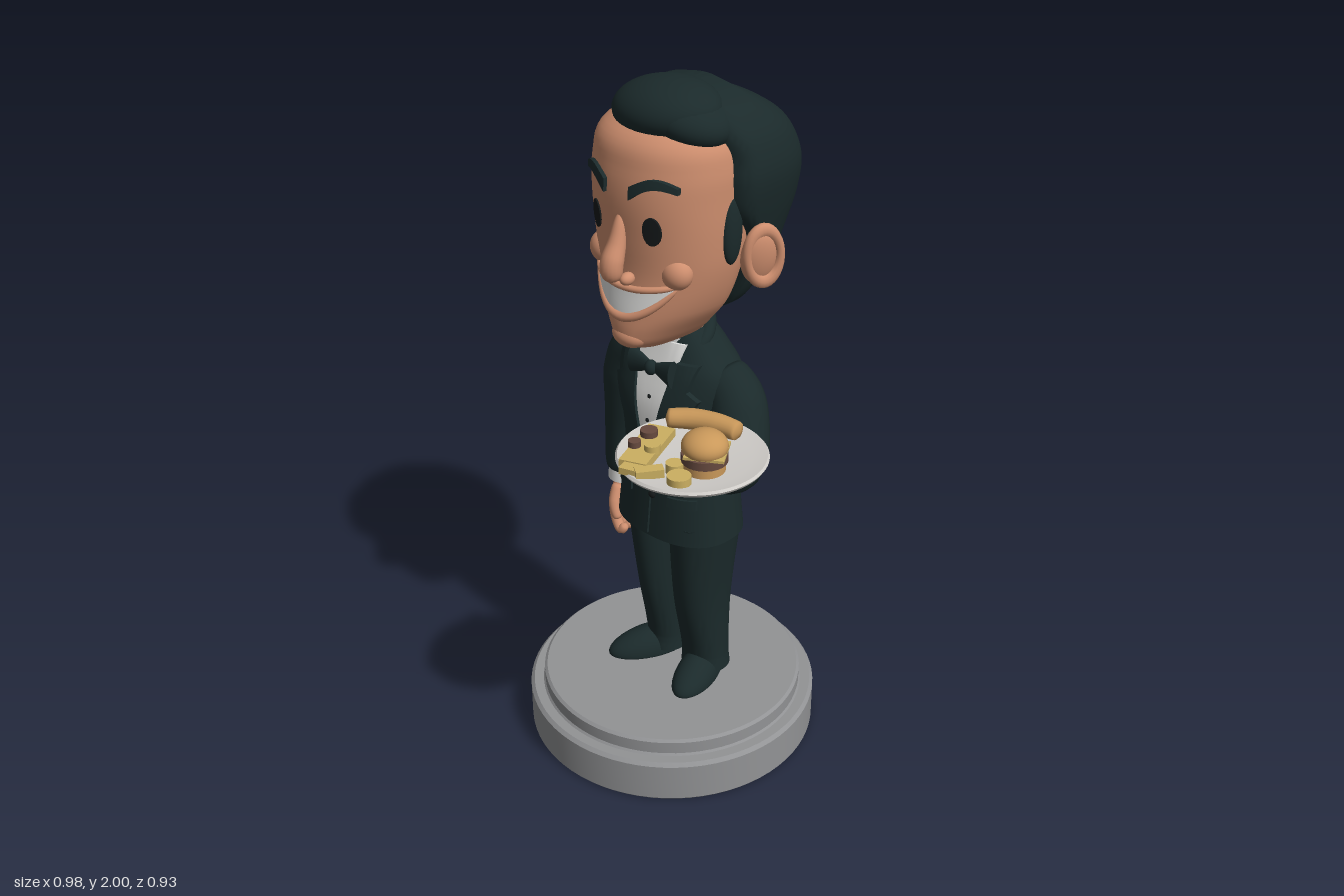
import * as THREE from 'three';
import { mergeVertices, toCreasedNormals } from 'three/addons/utils/BufferGeometryUtils.js';

const paint = (name, color) => Object.assign(new THREE.MeshStandardMaterial({ color }), { name });
const V = (p) => new THREE.Vector3(...p);
const CX = -0.042; // middle of the head

// Smooth value of every column of a row table at height y
function sample(rows, y) {
  const last = rows.length - 1;
  let i = 0;
  while (i < last - 1 && y > rows[i + 1][0]) i++;
  const a = rows[i], b = rows[i + 1], h = b[0] - a[0];
  const t = THREE.MathUtils.clamp((y - a[0]) / h, 0, 1);
  const slope = (k, c) => {
    const p = rows[Math.max(k - 1, 0)], q = rows[Math.min(k + 1, last)];
    return (q[c] - p[c]) / (q[0] - p[0]);
  };
  return a.map((v, c) => {
    const t2 = t * t, t3 = t2 * t;
    return (2 * t3 - 3 * t2 + 1) * v + (t3 - 2 * t2 + t) * h * slope(i, c)
      + (3 * t2 - 2 * t3) * b[c] + (t3 - t2) * h * slope(i + 1, c);
  });
}

// Body from stacked rings; each row is [y, centre x, half width, front z, back z]
function loft({ rows, cz, pf = 2.2, pb = 2.2 }, n = 48) {
  const pos = [], idx = [], ys = [];
  for (let i = 0; i < rows.length - 1; i++)
    for (let k = 0; k < 5; k++) ys.push(THREE.MathUtils.lerp(rows[i][0], rows[i + 1][0], k / 5));
  ys.push(rows[rows.length - 1][0]);
  ys.forEach((y) => {
    const [, cx, rx, zf, zb] = sample(rows, y);
    for (let j = 0; j < n; j++) {
      const a = (j / n) * Math.PI * 2, c = Math.cos(a), s = Math.sin(a), e = 2 / (s > 0 ? pf : pb);
      pos.push(cx + rx * Math.sign(c) * Math.abs(c) ** e, y,
        cz + (s > 0 ? zf - cz : cz - zb) * Math.sign(s) * Math.abs(s) ** e);
    }
  });
  const top = (ys.length - 1) * n, c0 = pos.length / 3;
  for (const y of [ys[0], ys[ys.length - 1]]) {
    const [, cx, , zf, zb] = sample(rows, y);
    pos.push(cx, y, (zf + zb) / 2);
  }
  for (let j = 0; j < n; j++) {
    const k = (j + 1) % n;
    for (let i = 0; i < ys.length - 1; i++) {
      const a = i * n + j, b = i * n + k;
      idx.push(a, a + n, b, b, a + n, b + n);
    }
    idx.push(c0, j, k, c0 + 1, top + k, top + j);
  }
  const g = new THREE.BufferGeometry();
  g.setAttribute('position', new THREE.Float32BufferAttribute(pos, 3));
  g.setIndex(idx);
  return toCreasedNormals(g, 0.9);
}

// Front z of a loft at (x, y)
function frontZ({ rows, cz, pf = 2.2 }, x, y) {
  const [, cx, rx, zf] = sample(rows, y);
  return cz + (zf - cz) * Math.max(0, 1 - (Math.abs(x - cx) / rx) ** pf) ** (1 / pf);
}

// Thin plate following the front of a loft; f(u, v) gives [x, y]
function patch(body, f, off = 0.006, n = 14) {
  const steps = [0, ...Array.from({ length: n + 1 }, (_, i) => i / n), 1], m = steps.length;
  const pos = [], idx = [];
  steps.forEach((u, i) => steps.forEach((v, j) => {
    const [x, y] = f(u, v), rim = i === 0 || j === 0 || i === m - 1 || j === m - 1;
    pos.push(x, y, frontZ(body, x, y) + (rim ? -0.004 : off));
    if (i < m - 1 && j < m - 1) {
      const a = i * m + j;
      idx.push(a, a + m, a + 1, a + 1, a + m, a + m + 1);
    }
  }));
  const g = new THREE.BufferGeometry();
  g.setAttribute('position', new THREE.Float32BufferAttribute(pos, 3));
  g.setIndex(idx);
  return toCreasedNormals(g, 0.7);
}

// Tapered tube with closed ends
function limb(points, radii, power = 10, seg = 28, sides = 18) {
  const curve = new THREE.CatmullRomCurve3(points.map(V));
  const g = new THREE.TubeGeometry(curve, seg, 1, sides), p = g.attributes.position, v = new THREE.Vector3();
  for (let i = 0; i <= seg; i++) {
    const t = i / seg, c = curve.getPointAt(t), k = t * (radii.length - 1);
    const a = Math.min(Math.floor(k), radii.length - 2);
    const r = THREE.MathUtils.lerp(radii[a], radii[a + 1], k - a) * Math.sqrt(Math.max(0, 1 - Math.abs(2 * t - 1) ** power));
    for (let j = 0; j <= sides; j++) {
      const q = i * (sides + 1) + j;
      v.fromBufferAttribute(p, q).sub(c).multiplyScalar(r).add(c);
      p.setXYZ(q, v.x, v.y, v.z);
    }
  }
  g.deleteAttribute('uv');
  g.deleteAttribute('normal');
  const out = mergeVertices(g);
  out.computeVertexNormals();
  return out;
}

const lathe = (pts) => toCreasedNormals(new THREE.LatheGeometry(pts.map((p) => new THREE.Vector2(...p)), 72), 0.5);

export function createModel() {
  const root = new THREE.Group();
  root.name = 'waiterFigure';
  const suit = paint('suit', 0x1b2a2b), skin = paint('skin', 0xcf8f6f), white = paint('white', 0xe2e2e0);
  const stone = paint('stone', 0x929395), china = paint('china', 0xcfccc8), bread = paint('bread', 0xc9985a);
  const cheese = paint('cheese', 0xccb062), meat = paint('meat', 0x674a3f), ink = paint('ink', 0x15191a);

  const add = (name, geo, mat, pos = [0, 0, 0], rot = [0, 0, 0]) => {
    const m = new THREE.Mesh(geo, mat);
    m.name = name;
    m.position.set(...pos);
    m.rotation.set(...rot);
    root.add(m);
    return m;
  };
  const ball = (name, mat, pos, r, rot) => {
    const m = add(name, new THREE.SphereGeometry(1, 32, 20), mat, pos, rot);
    m.scale.set(...r);
    return m;
  };

  // Stepped round base
  add('base', lathe([[0, 0], [0.423, 0], [0.428, 0.006], [0.428, 0.12], [0.418, 0.13], [0.39, 0.13],
    [0.385, 0.136], [0.385, 0.173], [0.377, 0.18], [0, 0.18]]), stone, [-0.063, 0, -0.036]);

  // Trousers and shoes
  add('rightTrouserLeg', loft({ cz: -0.08, rows: [[0.2, -0.118, 0.062, -0.015, -0.15], [0.25, -0.12, 0.06, -0.02, -0.148],
    [0.45, -0.122, 0.063, 0.02, -0.155], [0.74, -0.125, 0.075, 0.06, -0.17]] }), suit);
  add('leftTrouserLeg', loft({ cz: -0.08, rows: [[0.2, 0.033, 0.072, -0.015, -0.15], [0.25, 0.03, 0.07, -0.02, -0.148],
    [0.45, 0.027, 0.075, 0.02, -0.155], [0.74, 0.045, 0.088, 0.06, -0.17]] }), suit);
  for (const [name, x, turn] of [['rightShoe', -0.155, -0.5], ['leftShoe', 0.05, 0.3]]) {
    const g = new THREE.SphereGeometry(1, 32, 20), p = g.attributes.position;
    for (let i = 0; i < p.count; i++)
      p.setY(i, p.getY(i) < 0 ? Math.max(p.getY(i), -0.07) : p.getY(i) * (1 - 0.3 * p.getZ(i)));
    g.computeVertexNormals();
    add(name, g, suit, [x, 0.184, -0.025], [0, turn, 0]).scale.set(0.06, 0.07, 0.122);
  }

  // Jacket body
  const torso = { cz: -0.06, pf: 2.4, pb: 2.4, rows: [[0.69, -0.05, 0.192, 0.08, -0.2], [0.8, -0.048, 0.18, 0.075, -0.192],
    [0.95, -0.045, 0.166, 0.07, -0.185], [1.1, -0.05, 0.183, 0.068, -0.19], [1.2, -0.05, 0.185, 0.042, -0.183],
    [1.26, -0.048, 0.135, 0.022, -0.165], [1.315, -0.045, 0.08, 0.005, -0.14]] };
  add('jacket', loft(torso), suit);
  add('jacketCollar', limb([[-0.125, 1.24, 0.015], [-0.13, 1.29, -0.06], [-0.045, 1.322, -0.142],
    [0.04, 1.29, -0.06], [0.035, 1.24, 0.015]], [0.016, 0.022, 0.022, 0.022, 0.016]), suit);

  // Shirt front, lapels and jacket details
  const opening = (y) => 0.075 * Math.max(0, (y - 0.95) / 0.33) ** 0.7;
  add('shirtFront', patch(torso, (u, v) => {
    const y = 0.95 + 0.335 * v;
    return [-0.045 + opening(y) * (2 * u - 1), y];
  }, 0.007), white);
  for (const s of [1, -1]) {
    add('lapel', patch(torso, (u, v) => {
      const y = 0.92 + 0.32 * v, k = s > 0 ? u : 1 - u;
      const w = v < 0.75 ? 0.015 + 0.11 * v : 0.058;
      return [-0.045 + s * (opening(y) + w * k), y];
    }, 0.016), suit);
    add('pocketFlap', patch(torso, (u, v) => [-0.045 + s * 0.105 + 0.075 * (u - 0.5), 0.81 + 0.03 * v], 0.008), suit);
    // Bow tie wings
    add('bowTieWing', new THREE.CylinderGeometry(0.014, 0.04, 0.068, 20), suit, [-0.045 + s * 0.04, 1.215, 0.056],
      [0, 0, s * Math.PI / 2]).scale.z = 0.5;
  }
  ball('bowTieKnot', suit, [-0.045, 1.215, 0.062], [0.018, 0.022, 0.018]);
  add('jacketFrontEdge', patch(torso, (u, v) => [-0.045 - 0.012 * (1 - v) + 0.014 * u, 0.7 + 0.23 * v], 0.007), suit);
  for (const y of [0.9, 0.83]) ball('jacketButton', ink, [-0.03, y, 0.078], [0.011, 0.011, 0.008]);
  for (const y of [1.13, 1.06]) ball('shirtStud', ink, [-0.045, y, frontZ(torso, -0.045, y) + 0.007], [0.006, 0.006, 0.004]);
  add('pocketSquare', patch(torso, (u, v) => [0.055 + 0.045 * u, 1.07 + v * (0.012 + 0.022 * Math.sin(u * Math.PI))], 0.014), white);

  // Neck and shirt collar
  add('neck', new THREE.CylinderGeometry(0.07, 0.072, 0.2, 32), skin, [-0.043, 1.3, -0.06]);
  add('shirtCollar', new THREE.CylinderGeometry(0.077, 0.084, 0.075, 32), white, [-0.044, 1.268, -0.058], [0.15, 0, 0]);

  // Sleeves and cuffs
  add('rightSleeve', limb([[-0.17, 1.19, -0.08], [-0.245, 1.145, -0.085], [-0.282, 0.95, -0.09], [-0.3, 0.73, -0.085]],
    [0.07, 0.08, 0.066, 0.056], 30), suit);
  add('rightCuff', new THREE.CylinderGeometry(0.046, 0.048, 0.04, 28), white, [-0.3, 0.728, -0.084]);
  add('leftSleeve', limb([[0.07, 1.19, -0.08], [0.14, 1.13, -0.075], [0.195, 0.99, -0.015], [0.215, 1.025, 0.08], [0.215, 1.07, 0.15]],
    [0.07, 0.08, 0.083, 0.074, 0.058], 30, 40), suit);
  add('leftCuff', limb([[0.215, 1.058, 0.135], [0.219, 1.083, 0.174]], [0.05, 0.05], 20), white);

  // Hanging hand
  ball('rightPalm', skin, [-0.292, 0.665, -0.08], [0.034, 0.062, 0.048]);
  for (let i = 0; i < 4; i++) {
    const z = -0.12 + 0.026 * i;
    add('rightFinger', limb([[-0.3, 0.65, z], [-0.298, 0.59, z], [-0.27, 0.553 + 0.006 * (3 - i), z + 0.006], [-0.252, 0.575, z + 0.004]],
      [0.018, 0.017, 0.016, 0.014]), skin);
  }
  add('rightThumb', limb([[-0.29, 0.7, -0.05], [-0.28, 0.645, -0.022], [-0.262, 0.6, -0.015]], [0.02, 0.019, 0.014]), skin);

  // Raised hand under the plate
  add('leftWrist', limb([[0.216, 1.075, 0.155], [0.235, 1.1, 0.2], [0.265, 1.115, 0.24]], [0.036, 0.038, 0.036]), skin);
  ball('leftPalm', skin, [0.27, 1.117, 0.245], [0.058, 0.036, 0.06]);
  for (let i = 0; i < 4; i++)
    add('leftFinger', limb([[0.26 + 0.014 * i, 1.115, 0.265 - 0.012 * i], [0.272 + 0.026 * i, 1.116, 0.32 - 0.02 * i],
      [0.28 + 0.036 * i, 1.142, 0.37 - 0.033 * i]], [0.02, 0.018, 0.014]), skin);
  add('leftThumb', limb([[0.25, 1.11, 0.21], [0.3, 1.11, 0.2], [0.34, 1.14, 0.2]], [0.02, 0.019, 0.015]), skin);

  // Plate with food
  add('plate', lathe([[0, 1.153], [0.11, 1.153], [0.186, 1.168], [0.191, 1.176], [0.186, 1.182], [0.15, 1.176], [0, 1.174]]),
    china, [0.3, 0, 0.274]);
  add('bananaRoll', limb([[0.148, 1.196, 0.21], [0.21, 1.198, 0.168], [0.27, 1.198, 0.147], [0.337, 1.196, 0.137]],
    [0.025, 0.028, 0.028, 0.025], 30), bread);
  add('cheeseSlab', new THREE.BoxGeometry(0.072, 0.022, 0.19), cheese, [0.208, 1.187, 0.338], [0, 0.37, 0]);
  const slice = (name, mat, r, h, pos) => add(name, new THREE.CylinderGeometry(r, r, h, 24), mat, pos);
  slice('meatSlice', meat, 0.022, 0.02, [0.181, 1.204, 0.304]);
  slice('meatSlice', meat, 0.016, 0.02, [0.192, 1.204, 0.367]);
  slice('cheeseBite', cheese, 0.02, 0.022, [0.236, 1.203, 0.35]);
  slice('cheeseBite', cheese, 0.03, 0.022, [0.366, 1.186, 0.393]);
  slice('cheeseBite', cheese, 0.022, 0.026, [0.322, 1.188, 0.362]);
  add('cheeseStick', new THREE.BoxGeometry(0.03, 0.022, 0.07), cheese, [0.293, 1.187, 0.42], [0, -0.6, 0]);
  add('cheeseStick', new THREE.BoxGeometry(0.05, 0.018, 0.04), cheese, [0.25, 1.186, 0.437], [0, 0.3, 0]);
  slice('bottomBun', bread, 0.052, 0.026, [0.366, 1.188, 0.302]);
  slice('burgerPatty', meat, 0.058, 0.022, [0.366, 1.212, 0.302]);
  add('burgerCheese', new THREE.BoxGeometry(0.1, 0.007, 0.1), cheese, [0.37, 1.226, 0.298], [0, 0.55, 0]);
  const bun = add('topBun', new THREE.SphereGeometry(0.058, 32, 14, 0, Math.PI * 2, 0, Math.PI * 0.6), bread, [0.366, 1.24, 0.302]);
  bun.scale.y = 0.7;

  // Head
  const head = { cz: -0.03, pf: 2.15, rows: [[1.296, CX, 0.045, 0.11, -0.04], [1.32, CX, 0.08, 0.163, -0.06],
    [1.36, CX, 0.115, 0.176, -0.1], [1.42, CX, 0.157, 0.172, -0.14], [1.52, CX, 0.19, 0.164, -0.17], [1.62, CX, 0.203, 0.17, -0.2],
    [1.72, CX, 0.207, 0.176, -0.2], [1.8, CX, 0.207, 0.168, -0.2], [1.87, CX, 0.188, 0.145, -0.2], [1.93, CX, 0.11, 0.06, -0.15]] };
  add('head', loft(head, 64), skin);
  add('nose', limb([[CX, 1.69, 0.163], [CX, 1.61, 0.183], [CX, 1.555, 0.203], [CX, 1.512, 0.197]], [0.014, 0.021, 0.03, 0.031], 6), skin);
  ball('chin', skin, [CX, 1.345, 0.138], [0.055, 0.036, 0.042]);

  // Grin: teeth with lips around them
  const smile = (k) => Array.from({ length: 9 }, (_, i) => {
    const u = i / 4 - 1, x = CX + 0.142 * u, y = k ? 1.489 + 0.02 * u * u : 1.409 + 0.098 * u * u;
    return [x, y, frontZ(head, x, y) + 0.003];
  });
  add('teeth', patch(head, (a, v) => {
    const u = 2 * a - 1;
    return [CX + 0.14 * u, THREE.MathUtils.lerp(1.412 + 0.095 * u * u, 1.487 + 0.02 * u * u, v)];
  }, 0.008), white);
  add('lowerLip', limb(smile(0), [0.007, 0.011, 0.014, 0.011, 0.007]), skin);
  add('upperLip', limb(smile(1), [0.008, 0.009, 0.009, 0.009, 0.008]), skin);

  for (const s of [1, -1]) {
    const side = s > 0 ? 'left' : 'right';
    ball(side + 'Nostril', skin, [CX + s * 0.028, 1.52, 0.176], [0.017, 0.017, 0.022]);
    ball(side + 'Cheek', skin, [CX + s * 0.125, 1.54, 0.098], [0.045, 0.045, 0.04]);
    add(side + 'Eye', patch(head, (r, a) => [CX + s * 0.095 + 0.022 * r * Math.cos(a * Math.PI * 2),
      1.658 + 0.038 * r * Math.sin(a * Math.PI * 2)], 0.005, 20), ink);
    add(side + 'Eyebrow', patch(head, (u, v) => {
      const k = s > 0 ? u : 1 - u; // 0 at the inner end
      return [CX + s * (0.042 + 0.112 * k), 1.752 + 0.03 * Math.sin(k * 2.6) + (v - 0.5) * (0.034 - 0.018 * k)];
    }, 0.012), suit);
    // Ear with rim
    ball(side + 'Ear', skin, [CX + s * 0.225, 1.55, -0.1], [0.026, 0.08, 0.052], [0.15, -s * 0.35, s * -0.12]);
    add(side + 'EarRim', new THREE.TorusGeometry(0.05, 0.014, 12, 32), skin, [CX + s * 0.237, 1.555, -0.105],
      [0.15, Math.PI / 2 - s * 0.35, 0]).scale.set(0.95, 1.45, 1);
    ball(side + 'Sideburn', suit, [CX + s * 0.198, 1.64, -0.025], [0.02, 0.095, 0.034]);
  }

  // Hair: full back and crown, with a swept quiff
  add('hair', loft({ cz: -0.12, pf: 4.5, pb: 2.3, rows: [[1.36, CX, 0.085, -0.105, -0.16], [1.4, CX, 0.14, -0.1, -0.225],
    [1.5, CX, 0.192, -0.1, -0.3], [1.6, CX, 0.22, -0.085, -0.345], [1.68, CX, 0.24, -0.02, -0.37], [1.76, CX, 0.253, -0.005, -0.37],
    [1.82, CX, 0.248, -0.005, -0.345], [1.88, CX + 0.005, 0.222, 0.01, -0.295], [1.93, CX + 0.01, 0.172, 0.02, -0.215],
    [1.965, CX + 0.015, 0.1, 0.02, -0.14], [1.978, CX + 0.015, 0.03, -0.02, -0.13]] }, 64), suit);
  ball('quiff', suit, [-0.028, 1.922, 0.012], [0.155, 0.077, 0.12], [0.1, 0, 0.06]);
  ball('quiffWave', suit, [0.045, 1.91, 0.01], [0.115, 0.065, 0.1], [0, 0.3, -0.25]);
  return root;
}
